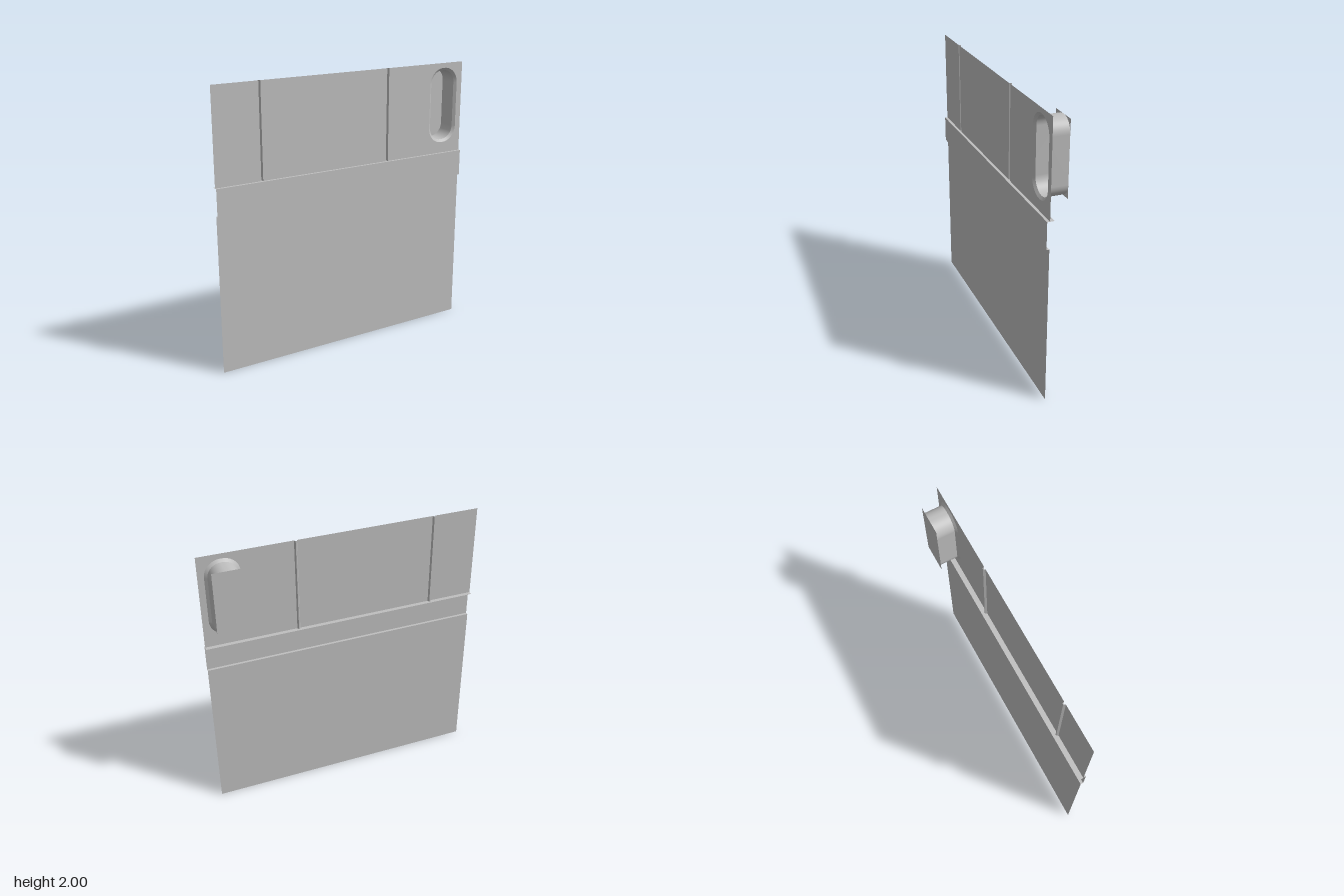
import * as THREE from 'three';

const FACE = 0.062;   // z of the main panels
const INNER = 0.047;  // z of groove floors and the inner rim
const BAND = 0.081;   // z of the raised band
const BACK = -0.081;  // z of the recess back plate

const grey = new THREE.MeshStandardMaterial({ color: 0xbfbfbf, side: THREE.DoubleSide });
grey.name = 'plain grey';

function mesh(name, geometry) {
  const m = new THREE.Mesh(geometry, grey);
  m.name = name;
  return m;
}

// Flat upright sheet facing +z
function sheet(name, x0, x1, y0, y1, z) {
  const g = new THREE.PlaneGeometry(x1 - x0, y1 - y0);
  g.translate((x0 + x1) / 2, (y0 + y1) / 2, z);
  return mesh(name, g);
}

// Level ledge facing up
function ledge(name, y, z0, z1) {
  const g = new THREE.PlaneGeometry(2, z1 - z0);
  g.rotateX(-Math.PI / 2).translate(0, y, (z0 + z1) / 2);
  return mesh(name, g);
}

// Rounded rectangle outline, counter-clockwise
function roundedRect(cx, cy, hw, hh, r, Type) {
  const s = new Type();
  s.absarc(cx + hw - r, cy + hh - r, r, 0, Math.PI / 2);
  s.absarc(cx - hw + r, cy + hh - r, r, Math.PI / 2, Math.PI);
  s.absarc(cx - hw + r, cy - hh + r, r, Math.PI, Math.PI * 1.5);
  s.absarc(cx + hw - r, cy - hh + r, r, Math.PI * 1.5, Math.PI * 2);
  s.closePath();
  return s;
}

// Wall joining two matching outlines, facing inward
function loft(name, a, za, b, zb) {
  const pos = [], idx = [];
  a.forEach((p, i) => {
    pos.push(p.x, p.y, za, b[i].x, b[i].y, zb);
    if (i < a.length - 1) {
      const k = i * 2;
      idx.push(k, k + 1, k + 2, k + 2, k + 1, k + 3);
    }
  });
  const g = new THREE.BufferGeometry();
  g.setAttribute('position', new THREE.Float32BufferAttribute(pos, 3));
  g.setIndex(idx);
  g.computeVertexNormals();
  return mesh(name, g);
}

// Shallow vertical groove with sloped sides
function groove(x, y0, y1) {
  const profile = [[-0.011, FACE], [-0.004, INNER], [0.004, INNER], [0.011, FACE]];
  const pos = [];
  for (let i = 0; i < 3; i++) {
    const [ax, az] = profile[i], [bx, bz] = profile[i + 1];
    const A = [x + ax, y0, az], B = [x + bx, y0, bz];
    const C = [x + bx, y1, bz], D = [x + ax, y1, az];
    pos.push(...A, ...B, ...C, ...A, ...C, ...D);
  }
  const g = new THREE.BufferGeometry();
  g.setAttribute('position', new THREE.Float32BufferAttribute(pos, 3));
  g.computeVertexNormals();
  return mesh('panelGroove', g);
}

export function createModel() {
  const model = new THREE.Group();
  model.name = 'wallPanel';
  const low = 1.14, mid = 1.33, top = 2, half = 0.011;
  const grooves = [-0.665, 0.337];

  // Lower wall and the raised band with its ledges
  model.add(
    sheet('lowerPanel', -1, 1, 0, low, FACE),
    ledge('lowerLedge', low, FACE, BAND),
    sheet('raisedBand', -1, 1, low, mid, BAND),
    ledge('upperLedge', mid, 0.032, BAND)
  );

  // Upper panels divided by grooves
  model.add(
    sheet('upperSidePanel', -1, grooves[0] - half, mid, top, FACE),
    sheet('upperCentrePanel', grooves[0] + half, grooves[1] - half, mid, top, FACE)
  );
  grooves.forEach(x => model.add(groove(x, mid, top)));

  // Upper panel with the opening
  const cx = 0.835, cy = 1.687;
  const x0 = grooves[1] + half;
  const panel = new THREE.Shape();
  panel.moveTo(x0, mid).lineTo(1, mid).lineTo(1, top).lineTo(x0, top).closePath();
  panel.holes.push(roundedRect(cx, cy, 0.121, 0.277, 0.115, THREE.Path));
  const panelGeometry = new THREE.ShapeGeometry(panel, 10);
  panelGeometry.translate(0, 0, FACE);
  model.add(mesh('openingPanel', panelGeometry));

  // Recess: bevelled rim, straight wall and square back plate
  const outer = roundedRect(cx, cy, 0.121, 0.277, 0.115, THREE.Path).getPoints(10);
  const inner = roundedRect(cx, cy, 0.102, 0.258, 0.096, THREE.Path).getPoints(10);
  const recess = new THREE.Group();
  recess.name = 'recess';
  recess.add(
    loft('recessRim', outer, FACE, inner, INNER),
    loft('recessWall', inner, INNER, inner, BACK),
    sheet('recessBack', cx - 0.102, cx + 0.102, cy - 0.258, cy + 0.258, BACK)
  );
  model.add(recess);
  return model;
}
